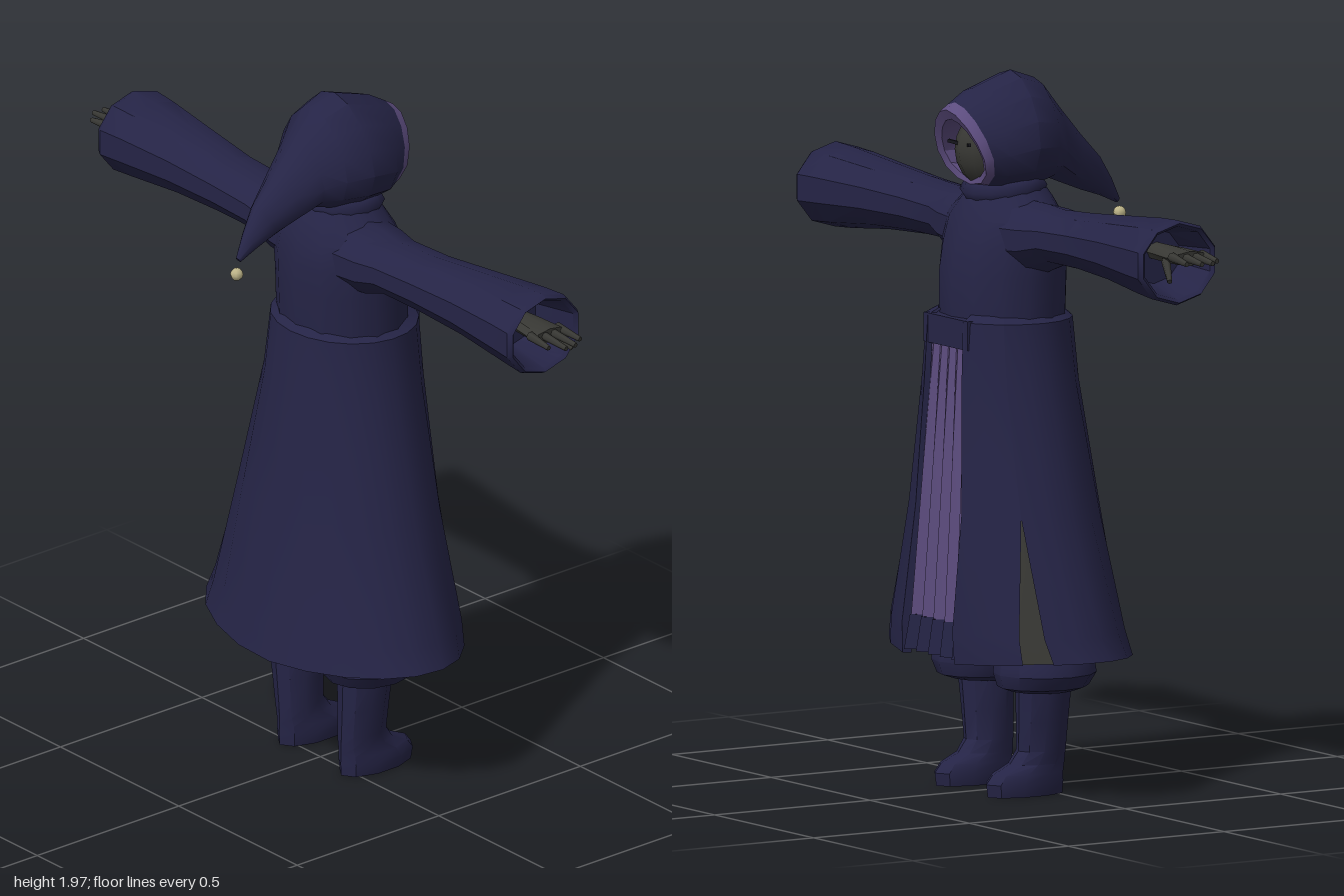
import * as THREE from 'three';
import { toCreasedNormals } from 'three/addons/utils/BufferGeometryUtils.js';

const mat = (name, color) => {
  const m = new THREE.MeshStandardMaterial({ color, side: THREE.DoubleSide });
  m.name = name;
  return m;
};
const V = (x, y, z) => new THREE.Vector3(x, y, z);

// Skin a list of cross-sections; closed joins each ring's ends, caps fill first/last ring
function loft(rings, closed = true, capStart = false, capEnd = false) {
  const n = rings[0].length, pos = [], idx = [];
  rings.forEach(r => r.forEach(p => pos.push(p.x, p.y, p.z)));
  for (let i = 0; i < rings.length - 1; i++) {
    for (let j = 0; j < (closed ? n : n - 1); j++) {
      const k = (j + 1) % n, a = i * n + j, b = i * n + k;
      idx.push(a, a + n, b, b, a + n, b + n);
    }
  }
  const cap = (i, flip) => {
    const c = rings[i].reduce((s, p) => s.add(p), V(0, 0, 0)).divideScalar(n);
    const ci = pos.length / 3;
    pos.push(c.x, c.y, c.z);
    for (let j = 0; j < n; j++) {
      const a = i * n + j, b = i * n + (j + 1) % n;
      idx.push(...(flip ? [ci, b, a] : [ci, a, b]));
    }
  };
  if (capStart) cap(0, false);
  if (capEnd) cap(rings.length - 1, true);
  const g = new THREE.BufferGeometry();
  g.setAttribute('position', new THREE.Float32BufferAttribute(pos, 3));
  g.setIndex(idx);
  return toCreasedNormals(g, 0.6);
}

// Horizontal ellipse from front depth zf to back depth zb
const ring = ([y, cx, rx, zf, zb], n = 12) => Array.from({ length: n }, (_, i) => {
  const a = i / n * Math.PI * 2;
  return V(cx + rx * Math.sin(a), y, (zf + zb) / 2 - (zb - zf) / 2 * Math.cos(a));
});

export function createModel() {
  const root = new THREE.Group();
  root.name = 'hoodedRobeFigure';
  const navy = mat('navyCloth', 0x252446);
  const purple = mat('purpleCloth', 0x5c4c7e);
  const olive = mat('darkSkin', 0x383834);
  const black = mat('eyeBlack', 0x15151c);
  const brass = mat('paleBrass', 0xbdb488);
  const add = (name, geo, m, parent = root) => {
    const mesh = new THREE.Mesh(geo, m);
    mesh.name = name;
    parent.add(mesh);
    return mesh;
  };

  // Torso
  add('torso', loft([
    [1.2, 0, 0.19, -0.235, 0.08], [1.32, 0, 0.2, -0.24, 0.088], [1.42, 0, 0.2, -0.24, 0.092],
    [1.5, 0, 0.205, -0.225, 0.092], [1.57, 0, 0.2, -0.205, 0.08], [1.62, 0, 0.14, -0.18, 0.06],
    [1.67, 0, 0.09, -0.15, 0.03],
  ].map(r => ring(r, 14)), true, true, true), navy);

  // Coat skirt, open at the front with a slit low on one side
  const levels = [ // y, rx, front z, back z, opening angle, slit start, slit end
    [1.318, 0.185, -0.245, 0.085, 0.45, 1, 1], [1.3, 0.218, -0.275, 0.105, 0.42, 1, 1],
    [1.13, 0.24, -0.282, 0.118, 0.4, 1, 1], [0.78, 0.328, -0.295, 0.16, 0.36, 1, 1],
    [0.46, 0.415, -0.33, 0.21, 0.31, 0.9, 1.12], [0.365, 0.44, -0.325, 0.226, 0.3, 0.88, 1.14],
  ];
  const coatRing = ([y, rx, zf, zb], from, to, n, foldStart, foldEnd, scale = 1) => {
    const zc = (zf + zb) / 2, rz = (zb - zf) / 2;
    const at = (a, s) => V(s * rx * Math.sin(a),
      y + (y < 0.4 ? 0.03 * Math.abs(Math.sin(a)) : 0), zc - s * rz * Math.cos(a));
    const pts = [];
    if (foldStart) pts.push(at(from, 0.92 * scale));
    for (let i = 0; i <= n; i++) pts.push(at(from + (to - from) * i / n, scale));
    if (foldEnd) pts.push(at(to, 0.92 * scale));
    return pts;
  };
  add('coatSkirt', loft(levels.map(l =>
    coatRing(l, l[4], Math.PI * 2 - l[6], 16, true, false)), false), navy);
  add('coatFrontFlap', loft(levels.map(l =>
    coatRing(l, -l[5], -l[4], 3, false, true)), false), navy);
  add('slitLining', loft(levels.slice(3).map(l =>
    coatRing(l, -1.25, -0.8, 3, false, false, 0.94)), false), olive);

  // Pleated front panel with dark hem, and waist sash
  const pleat = (y, w, z, depth) => Array.from({ length: 11 }, (_, i) =>
    V((i / 5 - 1) * w, y, z + (i % 2 ? -depth : 0)));
  add('frontPanel', loft([pleat(1.24, 0.1, -0.235, 0.008), pleat(0.9, 0.12, -0.25, 0.018),
    pleat(0.48, 0.14, -0.272, 0.025)], false), purple);
  add('panelHem', loft([pleat(0.48, 0.142, -0.274, 0.026), pleat(0.385, 0.15, -0.285, 0.03)], false), navy);
  add('waistSash', new THREE.BoxGeometry(0.22, 0.08, 0.04), navy).position.set(0, 1.265, -0.238);

  // Hood: tilted egg sections from the face opening back into the drooping tail
  const hoodSection = ([yt, zt, yb, zb, hw, cx = 0]) => Array.from({ length: 14 }, (_, i) => {
    const a = i / 14 * Math.PI * 2, t = (1 + Math.cos(a)) / 2;
    return V(cx + hw * Math.sin(a) * (1 - 0.22 * Math.cos(a)), yb + (yt - yb) * t, zb + (zt - zb) * t);
  });
  const hood = [
    [1.89, -0.228, 1.655, -0.158, 0.126], [1.925, -0.17, 1.645, -0.13, 0.148],
    [1.966, -0.05, 1.645, -0.06, 0.16], [1.94, 0.025, 1.655, 0.02, 0.138],
    [1.87, 0.085, 1.665, 0.06, 0.1], [1.785, 0.16, 1.645, 0.11, 0.075, 0],
    [1.71, 0.235, 1.618, 0.18, 0.045, 0.005], [1.645, 0.28, 1.597, 0.245, 0.026, 0.014],
    [1.585, 0.312, 1.572, 0.302, 0.008, 0.02],
  ];
  add('hood', loft(hood.map(hoodSection), true, false, true), navy);
  add('hoodTrim', loft([
    hood[0], [1.872, -0.256, 1.662, -0.178, 0.116], [1.845, -0.24, 1.68, -0.175, 0.094],
    [1.85, -0.16, 1.67, -0.11, 0.1],
  ].map(hoodSection)), purple);
  const bell = add('tailBell', new THREE.SphereGeometry(0.018, 8, 6), brass);
  bell.position.set(0.027, 1.542, 0.318);

  // Face with narrow eyes
  const face = add('face', new THREE.SphereGeometry(1, 12, 10), olive);
  face.scale.set(0.092, 0.115, 0.115);
  face.position.set(0, 1.755, -0.1);
  for (const s of [1, -1]) {
    const eye = add('eye', new THREE.BoxGeometry(0.04, 0.009, 0.008), black);
    eye.position.set(s * 0.036, 1.775, -0.206);
    eye.rotation.set(0, s * 0.45, s * 0.15);
  }

  // Neck cowl
  const cowl = add('neckCowl', new THREE.TorusGeometry(0.088, 0.032, 6, 14), navy);
  cowl.rotation.x = Math.PI / 2 - 0.08;
  cowl.position.set(0, 1.648, -0.072);

  for (const s of [1, -1]) {
    const side = s > 0 ? 'left' : 'right';

    // Flared sleeve, turned in at the cuff
    const sleeve = [ // x, centre y, ry, centre z, rz
      [0.1, 1.525, 0.1, -0.06, 0.12], [0.2, 1.53, 0.093, -0.055, 0.11], [0.27, 1.54, 0.076, -0.05, 0.095],
      [0.42, 1.544, 0.081, -0.05, 0.092], [0.6, 1.548, 0.094, -0.057, 0.104],
      [0.78, 1.547, 0.112, -0.063, 0.122], [0.86, 1.546, 0.117, -0.064, 0.13],
      [0.875, 1.546, 0.109, -0.064, 0.121], [0.865, 1.546, 0.1, -0.064, 0.11],
      [0.74, 1.548, 0.075, -0.06, 0.085],
    ];
    add(side + 'Sleeve', loft(sleeve.map(([x, cy, ry, cz, rz]) => Array.from({ length: 10 }, (_, i) => {
      const a = i / 10 * Math.PI * 2;
      return V(s * x, cy + ry * Math.cos(a), cz + rz * Math.sin(a));
    })), true, false, true), navy);

    // Hand: palm, four fingers and thumb
    const hand = new THREE.Group();
    hand.name = side + 'Hand';
    root.add(hand);
    add('palm', loft([[0.72, 0.025, 0.03], [0.83, 0.024, 0.045], [0.91, 0.02, 0.056]].map(([x, ry, rz]) =>
      Array.from({ length: 8 }, (_, i) => {
        const a = i / 8 * Math.PI * 2;
        return V(s * x, 1.562 + ry * Math.cos(a), -0.05 + rz * Math.sin(a));
      })), true, true, true), olive, hand);
    const finger = (name, a, b) => {
      const d = b.clone().sub(a);
      const f = add(name, new THREE.CylinderGeometry(0.007, 0.013, d.length(), 6), olive, hand);
      f.position.copy(a).add(b).multiplyScalar(0.5);
      f.quaternion.setFromUnitVectors(V(0, 1, 0), d.normalize());
    };
    [[-0.095, 0.975], [-0.063, 0.997], [-0.032, 0.998], [0, 0.965]].forEach(([z, tip]) =>
      finger('finger', V(s * 0.885, 1.567, z), V(s * tip, 1.558, z * 1.08)));
    finger('thumb', V(s * 0.84, 1.55, -0.085), V(s * 0.918, 1.505, -0.122));

    // Puffed trouser leg
    add(side + 'TrouserLeg', loft([
      [0.285, 0.145, 0.085, -0.13, 0.05], [0.298, 0.152, 0.115, -0.17, 0.085],
      [0.335, 0.156, 0.134, -0.182, 0.105], [0.375, 0.152, 0.128, -0.175, 0.1],
      [0.42, 0.145, 0.11, -0.15, 0.085], [0.75, 0.105, 0.095, -0.15, 0.06],
    ].map(([y, cx, ...r]) => ring([y, s * cx, ...r])), true, true, true), navy);

    // Boot
    add(side + 'Boot', loft([
      [0, 0.13, 0.058, -0.205, 0.035], [0.035, 0.13, 0.064, -0.21, 0.037], [0.06, 0.13, 0.06, -0.19, 0.036],
      [0.085, 0.13, 0.056, -0.135, 0.036], [0.12, 0.132, 0.057, -0.108, 0.036],
      [0.2, 0.138, 0.064, -0.11, 0.038], [0.31, 0.146, 0.074, -0.115, 0.042],
    ].map(([y, cx, ...r]) => ring([y, s * cx, ...r], 10)), true, true, true), navy);
  }
  return root;
}
